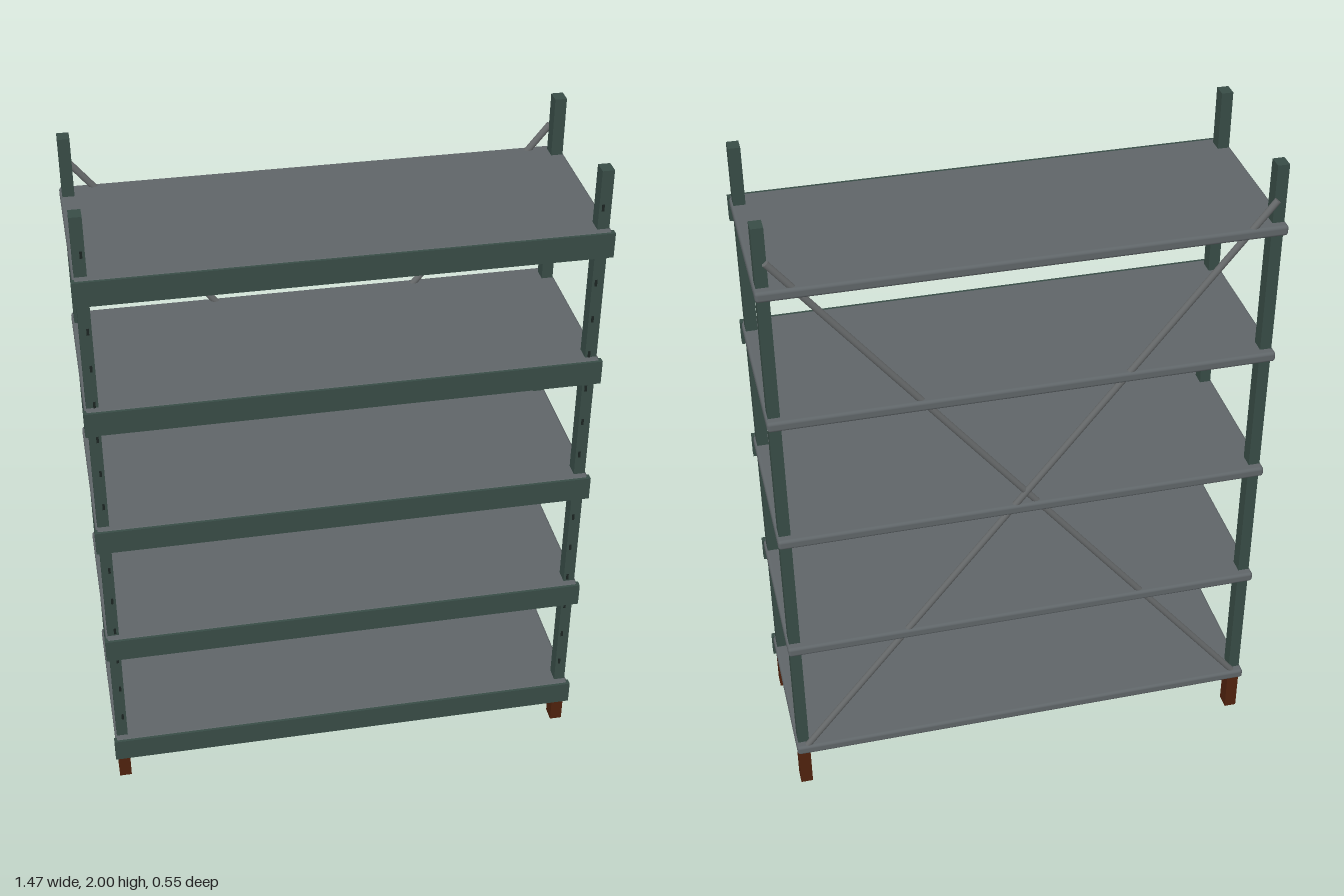
import * as THREE from 'three';
import { RoundedBoxGeometry } from 'three/addons/geometries/RoundedBoxGeometry.js';

const mat = (name, color) => {
  const m = new THREE.MeshStandardMaterial({ color });
  m.name = name;
  return m;
};

export function createModel() {
  const root = new THREE.Group();
  root.name = 'shelvingUnit';
  const green = mat('dark green paint', 0x384c46);
  const steel = mat('grey steel', 0x5f6568);
  const rod = mat('brace steel', 0x66696a);
  const rust = mat('rusty brown', 0x4f220d);
  const dark = mat('slot black', 0x1c2422);

  const add = (name, geometry, material, x, y, z) => {
    const mesh = new THREE.Mesh(geometry, material);
    mesh.name = name;
    mesh.position.set(x, y, z);
    root.add(mesh);
    return mesh;
  };

  // Corner posts with rusty feet
  const footTop = 0.155;
  const post = new THREE.BoxGeometry(0.034, 2 - footTop, 0.043);
  const foot = new THREE.BoxGeometry(0.037, footTop, 0.046);
  const slot = new THREE.BoxGeometry(0.007, 0.02, 0.004);
  for (const sx of [-1, 1]) {
    for (const sz of [-1, 1]) {
      add('post', post, green, sx * 0.707, (2 + footTop) / 2, sz * 0.225);
      add('foot', foot, rust, sx * 0.707, footTop / 2, sz * 0.225);
    }
    // Row of slots up each front post
    for (let i = 0; i < 15; i++) {
      add('postSlot', slot, dark, sx * 0.701, 0.252 + i * 0.117, 0.2465);
    }
  }

  // Shelves with rounded rims and a front beam each
  const shelf = new RoundedBoxGeometry(1.46, 0.031, 0.544, 3, 0.009);
  const beam = new THREE.BoxGeometry(1.468, 0.074, 0.02);
  for (let i = 0; i < 5; i++) {
    const top = 0.174 + i * 0.4127;
    add('shelf', shelf, steel, 0, top - 0.0155, 0);
    add('frontBeam', beam, green, 0, top - 0.038, 0.265);
  }

  // Crossed back braces
  const low = 0.17, high = 1.9, reach = 0.695;
  const length = Math.hypot(2 * reach, high - low);
  const brace = new THREE.CylinderGeometry(0.01, 0.01, length, 12);
  for (const s of [-1, 1]) {
    const mesh = add('backBrace', brace, rod, 0, (low + high) / 2, s < 0 ? -0.257 : -0.253);
    mesh.rotation.z = -s * Math.atan2(2 * reach, high - low);
  }
  return root;
}
